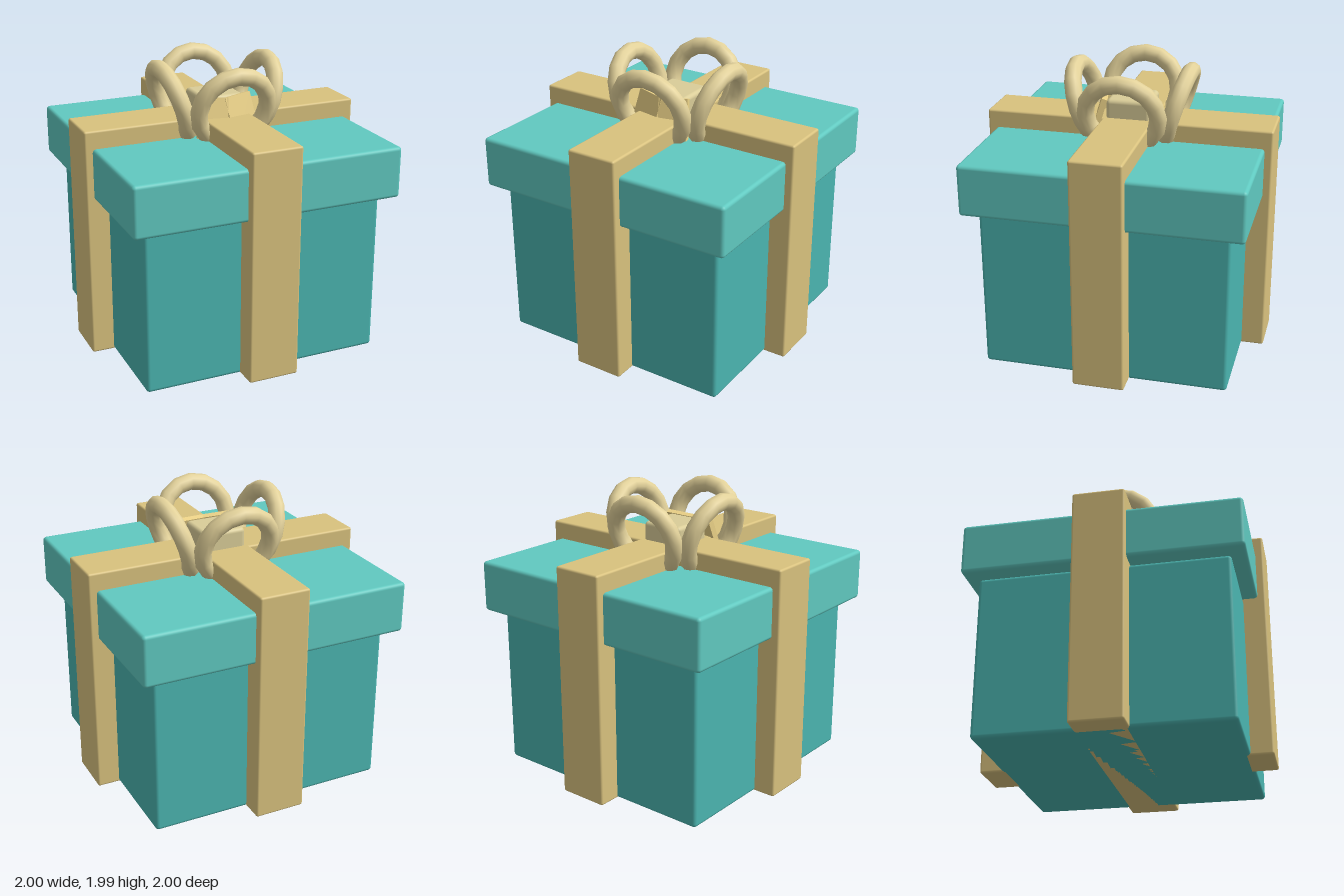
import * as THREE from 'three';
import { RoundedBoxGeometry } from 'three/addons/geometries/RoundedBoxGeometry.js';

const mat = (color) => new THREE.MeshStandardMaterial({ color });

export function createModel() {
  const model = new THREE.Group();
  model.name = 'giftBox';
  const teal = mat(0x4bb5b0), lidTeal = mat(0x60c9c0);
  const gold = mat(0xd9c27e), paleGold = mat(0xe3d29a), knotGold = mat(0xdacd98), tailGold = mat(0xe8cf85);

  // Rounded box standing between two heights
  function block(name, w, d, y0, y1, radius, material) {
    const mesh = new THREE.Mesh(new RoundedBoxGeometry(w, y1 - y0, d, 3, radius), material);
    mesh.name = name;
    mesh.position.y = (y0 + y1) / 2;
    model.add(mesh);
    return mesh;
  }

  block('body', 1.69, 1.69, 0.005, 1.13, 0.025, teal);
  block('lid', 1.89, 1.89, 1.14, 1.495, 0.025, lidTeal);

  // Ribbon bands wrapping the box in both directions
  block('ribbonFrontBack', 0.355, 2, 0.005, 1.62, 0.015, gold);
  block('ribbonSides', 2, 0.355, 0.005, 1.62, 0.015, gold);

  // Bow knot
  block('bowKnot', 0.31, 0.31, 1.44, 1.75, 0.03, knotGold);

  // Four bow loops leaning outwards
  const loopGeometry = new THREE.TorusGeometry(0.25, 0.06, 10, 16);
  for (let i = 0; i < 4; i++) {
    const pivot = new THREE.Group();
    pivot.name = 'bowLoop' + (i + 1);
    pivot.rotation.y = (i * Math.PI) / 2;
    const loop = new THREE.Mesh(loopGeometry, paleGold);
    loop.position.set(0, 1.7, 0.325);
    loop.rotation.x = 0.3;
    pivot.add(loop);
    model.add(pivot);
  }

  // Two short ribbon tails hanging in front of the knot
  for (const side of [-1, 1]) {
    const tail = new THREE.Mesh(new THREE.BoxGeometry(0.21, 0.36, 0.04), tailGold);
    tail.name = side > 0 ? 'leftTail' : 'rightTail';
    tail.position.set(side * 0.11, 1.58, 0.225);
    tail.rotation.set(-0.3, side * 0.2, side * 0.08, 'YXZ');
    model.add(tail);
  }
  return model;
}
